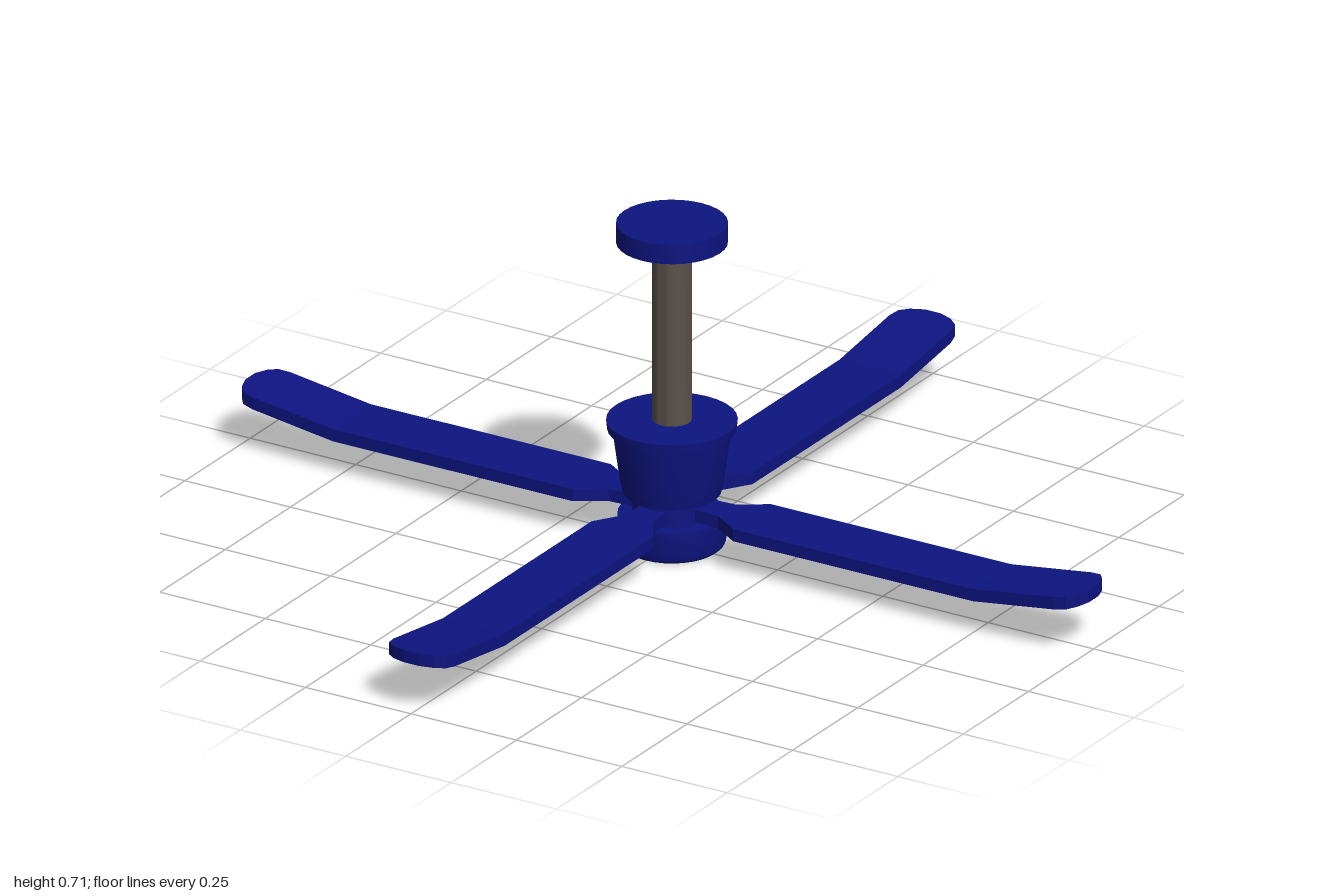
import * as THREE from 'three';
import { toCreasedNormals } from 'three/addons/utils/BufferGeometryUtils.js';

const blue = new THREE.MeshStandardMaterial({ color: 0x0d1480 });
const bladeBlue = new THREE.MeshStandardMaterial({ color: 0x0d1480, flatShading: true });
const brown = new THREE.MeshStandardMaterial({ color: 0x5a514b });

// Turned part from [radius, y] pairs, listed bottom to top
function turned(name, profile, material) {
  const points = profile.map(([r, y]) => new THREE.Vector2(r, y));
  const mesh = new THREE.Mesh(toCreasedNormals(new THREE.LatheGeometry(points, 32), 0.5), material);
  mesh.name = name;
  return mesh;
}

// Blade along +x: [distance, half width] stations, with the outer part bent up
function bladeGeometry() {
  const stations = [
    [0.06, 0.03], [0.13, 0.034], [0.19, 0.073], [0.76, 0.073], [0.95, 0.073],
    [0.975, 0.067], [0.99, 0.048], [1.0, 0.018],
  ];
  const last = stations.length - 1;
  const geometry = new THREE.BoxGeometry(1, 1, 1, last, 1, 1);
  const pos = geometry.attributes.position;
  for (let i = 0; i < pos.count; i++) {
    const [x, half] = stations[Math.round((pos.getX(i) + 0.5) * last)];
    const lift = Math.max(0, x - 0.76) * 0.138;
    pos.setXYZ(i, x, 0.09 + pos.getY(i) * 0.027 + lift, Math.sign(pos.getZ(i)) * half);
  }
  geometry.computeVertexNormals();
  return geometry;
}

export function createModel() {
  const fan = new THREE.Group();
  fan.name = 'ceilingFan';

  // Ceiling mount and rod
  fan.add(turned('canopy', [[0, 0.645], [0.045, 0.645], [0.113, 0.665], [0.113, 0.708], [0, 0.708]], brownless()));
  fan.add(turned('downrod', [[0, 0.25], [0.04, 0.25], [0.04, 0.66], [0, 0.66]], brown));

  // Motor housing flares up to a rim
  fan.add(turned('motorHousing', [
    [0, 0.118], [0.1, 0.118], [0.105, 0.14], [0.12, 0.25], [0.131, 0.255], [0.133, 0.275], [0, 0.275],
  ], blue));
  fan.add(turned('hub', [[0, 0.06], [0.08, 0.06], [0.08, 0.125], [0, 0.125]], blue));
  fan.add(turned('bottomCap', [
    [0, 0], [0.1, 0], [0.107, 0.006], [0.11, 0.014], [0.11, 0.07], [0, 0.07],
  ], blue));

  // Four blades
  const geometry = bladeGeometry();
  for (let i = 0; i < 4; i++) {
    const blade = new THREE.Mesh(geometry, bladeBlue);
    blade.name = 'blade' + (i + 1);
    blade.rotation.y = i * Math.PI / 2;
    fan.add(blade);
  }
  return fan;
}

// Canopy shares the blue finish
function brownless() {
  return blue;
}
